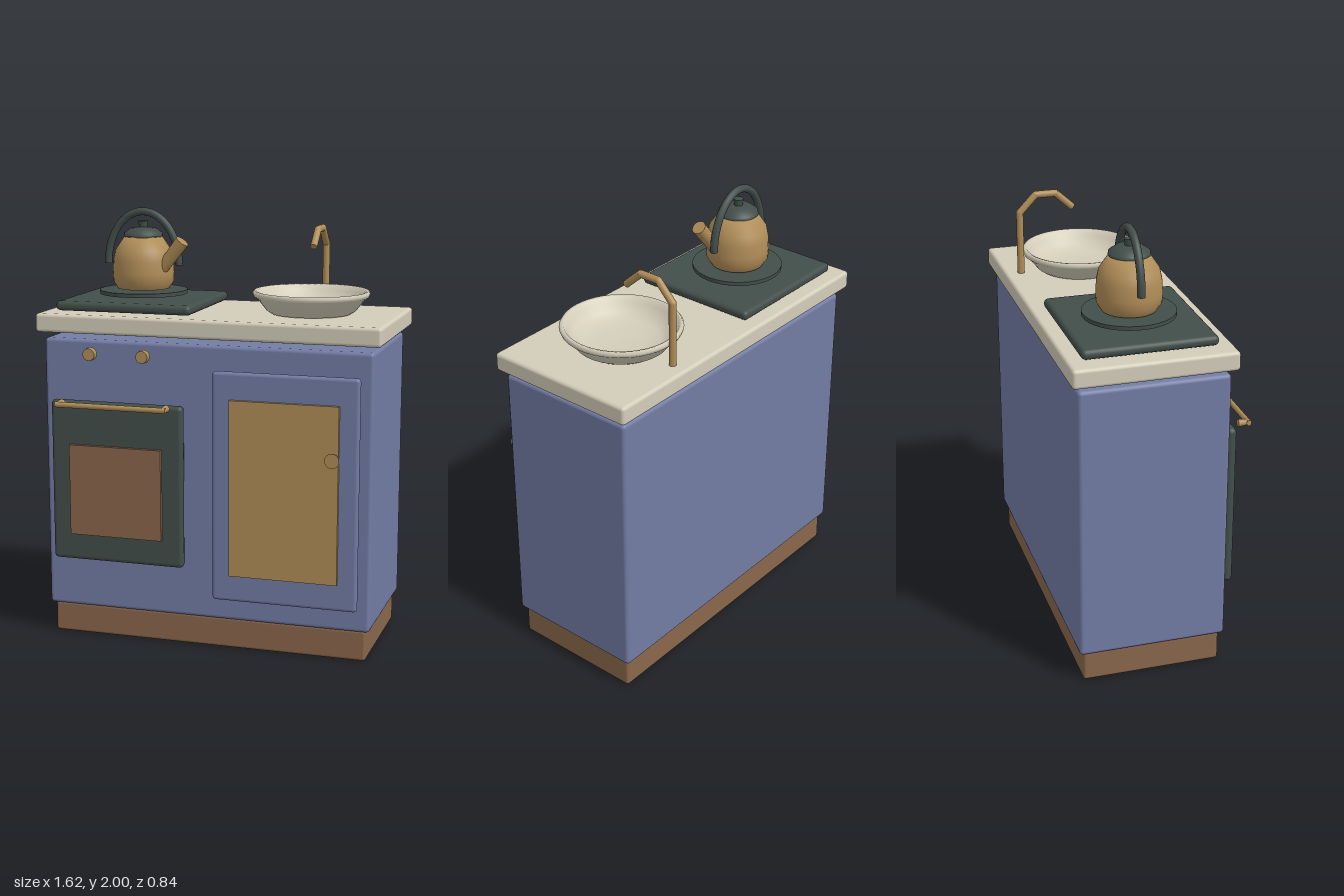
import * as THREE from 'three';
import { RoundedBoxGeometry } from 'three/addons/geometries/RoundedBoxGeometry.js';

const mat = (color, side = THREE.FrontSide) => new THREE.MeshStandardMaterial({ color, side });
const BLUE = mat(0x737ca4), CREAM = mat(0xd3cdb9), DARK = mat(0x424e4a);
const WOOD = mat(0x8a674b), BRASS = mat(0xb08d58);
const CREAM_OPEN = mat(0xd3cdb9, THREE.DoubleSide);
const V = (x, y, z) => new THREE.Vector3(x, y, z);

export function createModel() {
  const root = new THREE.Group();

  const add = (name, geometry, material, parent = root) => {
    const mesh = new THREE.Mesh(geometry, material);
    mesh.name = name;
    parent.add(mesh);
    return mesh;
  };
  const group = (name, x = 0, y = 0, z = 0) => {
    const g = new THREE.Group();
    g.name = name;
    g.position.set(x, y, z);
    root.add(g);
    return g;
  };
  // Box given by its limits on each axis; radius 0 keeps sharp edges
  const box = (name, [x0, x1], [y0, y1], [z0, z1], radius, material, parent) => {
    const size = [x1 - x0, y1 - y0, z1 - z0];
    const geo = radius ? new RoundedBoxGeometry(...size, 2, radius) : new THREE.BoxGeometry(...size);
    add(name, geo, material, parent).position.set((x0 + x1) / 2, (y0 + y1) / 2, (z0 + z1) / 2);
  };
  // Round bar between two points
  const rod = (name, a, b, ra, rb, material, parent) => {
    const dir = b.clone().sub(a);
    const mesh = add(name, new THREE.CylinderGeometry(rb, ra, dir.length(), 20), material, parent);
    mesh.position.copy(a).add(b).multiplyScalar(0.5);
    mesh.quaternion.setFromUnitVectors(V(0, 1, 0), dir.normalize());
    return mesh;
  };
  // Turned part from [radius, height] pairs; repeated pairs keep an edge crisp
  const turned = (name, pairs, material, parent, segments = 32) =>
    add(name, new THREE.LatheGeometry(pairs.map(([r, y]) => new THREE.Vector2(r, y)), segments), material, parent);

  // Cabinet
  box('plinth', [-0.755, 0.755], [0, 0.145], [-0.37, 0.265], 0.014, WOOD);
  box('cabinetBody', [-0.775, 0.775], [0.142, 1.42], [-0.39, 0.285], 0.018, BLUE);
  box('countertop', [-0.81, 0.81], [1.447, 1.534], [-0.42, 0.31], 0.016, CREAM);

  // Oven door with window and handle
  const oven = group('ovenDoor');
  box('ovenPanel', [-0.73, -0.092], [0.382, 1.14], [0.29, 0.335], 0.02, DARK, oven);
  box('ovenWindow', [-0.635, -0.19], [0.51, 0.936], [0.3, 0.353], 0, WOOD, oven);
  const bar = rod('handleBar', V(-0.676, 1.134, 0.408), V(-0.144, 1.134, 0.408), 0.013, 0.013, BRASS, oven);
  bar.scale.z = 0.9;
  for (const x of [-0.662, -0.158])
    rod('handlePost', V(x, 1.134, 0.36), V(x, 1.134, 0.41), 0.017, 0.012, BRASS, oven);

  // Control knobs
  for (const x of [-0.53, -0.275])
    rod('controlKnob', V(x, 1.362, 0.33), V(x, 1.362, 0.357), 0.031, 0.028, BRASS);

  // Cupboard door
  const door = group('cupboardDoor');
  box('doorFrame', [0.05, 0.725], [0.25, 1.312], [0.3, 0.338], 0.016, BLUE, door);
  box('doorPanel', [0.135, 0.637], [0.375, 1.188], [0.31, 0.355], 0, BRASS, door);
  rod('doorKnob', V(0.62, 0.957, 0.375), V(0.62, 0.957, 0.41), 0.025, 0.034, BRASS, door);

  // Hob and burner plate
  box('hob', [-0.737, -0.083], [1.54, 1.585], [-0.36, 0.24], 0.02, DARK);
  add('burner', new THREE.CylinderGeometry(0.207, 0.207, 0.018, 40), DARK).position.set(-0.41, 1.609, -0.06);

  // Kettle
  const kettle = group('kettle', -0.41, 0, -0.06);
  turned('kettleBody', [[0, 1.624], [0.122, 1.624], [0.122, 1.624], [0.143, 1.658], [0.145, 1.7],
    [0.142, 1.755], [0.132, 1.803], [0.09, 1.865], [0, 1.87]], BRASS, kettle);
  turned('kettleLid', [[0, 1.866], [0.092, 1.868], [0.092, 1.868], [0.09, 1.882], [0.06, 1.904],
    [0.024, 1.909], [0, 1.91]], DARK, kettle);
  add('lidKnob', new THREE.CylinderGeometry(0.023, 0.019, 0.035, 16), DARK, kettle).position.y = 1.921;
  rod('kettleSpout', V(0.1, 1.71, 0.048), V(0.213, 1.853, 0.06), 0.028, 0.033, BRASS, kettle);
  // Half-oval carrying handle
  const arch = Array.from({ length: 17 }, (_, i) => {
    const a = Math.PI * (1 - i / 16);
    return V(0.176 * Math.cos(a), 1.737 + 0.245 * Math.sin(a), 0);
  });
  add('kettleHandle', new THREE.TubeGeometry(new THREE.CatmullRomCurve3(arch), 40, 0.018, 12), DARK, kettle);
  for (const s of [-1, 1])
    rod('handleEnd', V(s * 0.176, 1.735, 0), V(s * 0.176, 1.745, 0), 0.018, 0.018, DARK, kettle);

  // Basin: outer wall, rolled rim, inner bowl
  const basin = group('basin', 0.405, 0, -0.06);
  turned('basinBowl', [[0, 1.537], [0.185, 1.537], [0.185, 1.537], [0.205, 1.55], [0.245, 1.6], [0.265, 1.615],
    [0.27, 1.63], [0.262, 1.641], [0.25, 1.638], [0.235, 1.615], [0.21, 1.582], [0.17, 1.56],
    [0.1, 1.551], [0, 1.549]], CREAM_OPEN, basin, 48);

  // Faucet: straight pipes with rounded elbows
  const faucet = group('faucet', 0.405);
  const path = [[1.535, -0.345], [1.828, -0.345], [1.909, -0.268], [1.909, -0.172], [1.836, -0.092]]
    .map(([y, z]) => V(0, y, z));
  path.slice(1).forEach((p, i) => {
    rod('faucetPipe', path[i], p, 0.0165, 0.0165, BRASS, faucet);
    if (i < 3) add('faucetElbow', new THREE.SphereGeometry(0.0165, 20, 12), BRASS, faucet).position.copy(p);
  });

  return root;
}
